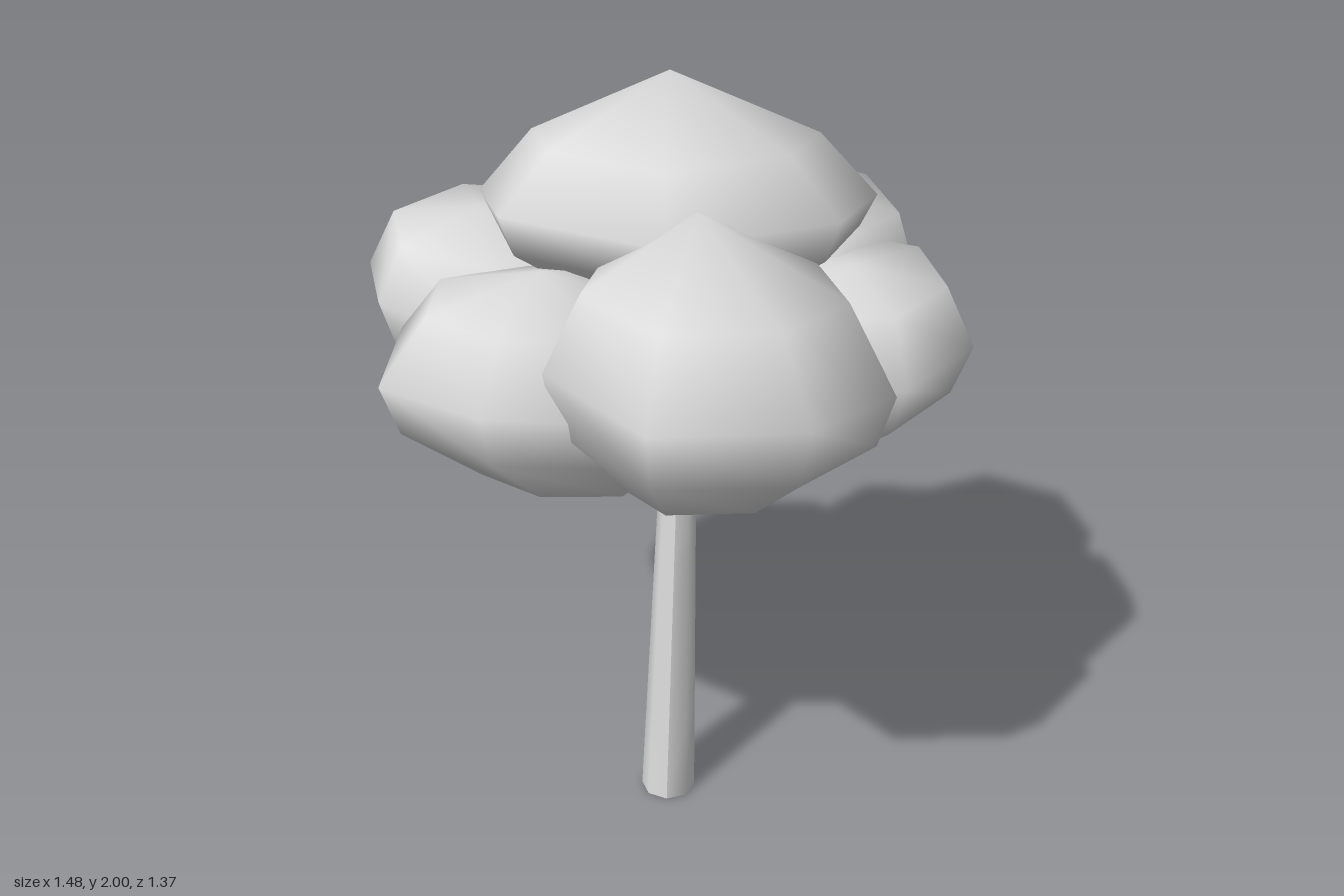
import * as THREE from 'three';

const SIDES = 7;
const V = (p) => new THREE.Vector3(...p);

// Closed smooth skin: top pole, a stack of rings, bottom pole
function skin(top, rings, bottom) {
  const points = [top, ...rings.flat(), bottom];
  const last = points.length - 1;
  const index = [];
  const at = (r, i) => 1 + r * SIDES + (i % SIDES);
  for (let i = 0; i < SIDES; i++) {
    index.push(0, at(0, i + 1), at(0, i));
    for (let r = 0; r < rings.length - 1; r++) {
      const a = at(r, i), b = at(r, i + 1), c = at(r + 1, i), d = at(r + 1, i + 1);
      index.push(a, b, c, b, d, c);
    }
    index.push(last, at(rings.length - 1, i), at(rings.length - 1, i + 1));
  }
  const geometry = new THREE.BufferGeometry().setFromPoints(points);
  geometry.setIndex(index);
  geometry.computeVertexNormals();
  return geometry;
}

// Widest outline: a tilted, slightly wavy polygon on an ellipse, clockwise from above
function girth({ center, rx, rz, turn, tilt }) {
  return Array.from({ length: SIDES }, (_, i) => {
    const a = THREE.MathUtils.degToRad(turn) + (i / SIDES) * Math.PI * 2;
    const x = rx * Math.cos(a), z = rz * Math.sin(a);
    const y = x * tilt[0] + z * tilt[1] + 0.025 * Math.sin(i * 2.4);
    return V(center).add(new THREE.Vector3(x, y, z));
  });
}

// Ring between the widest outline and a pole
function shoulder(outline, pole, spread, rise) {
  return outline.map((p) => new THREE.Vector3(
    THREE.MathUtils.lerp(pole.x, p.x, spread),
    THREE.MathUtils.lerp(p.y, pole.y, rise),
    THREE.MathUtils.lerp(pole.z, p.z, spread)));
}

// Leaf clumps: turn is the angle of the first corner, spread and rise place the upper shoulder
const clumps = [
  { name: 'topFoliage', center: [0.03, 1.67, -0.13], rx: 0.49, rz: 0.44, turn: 90, tilt: [0, 0.13],
    top: [0.02, 2, -0.07], bottom: [0.03, 1.42, -0.1], spread: 0.71, rise: 0.48 },
  { name: 'frontFoliage', center: [0.15, 1.44, 0.31], rx: 0.4, rz: 0.39, turn: 110, tilt: [-0.05, 0.05],
    top: [0.1, 1.8, 0.27], bottom: [0.08, 1.01, 0.12], spread: 0.75, rise: 0.55 },
  { name: 'frontRightFoliage', center: [-0.27, 1.37, 0.18], rx: 0.38, rz: 0.32, turn: 156, tilt: [0, 0],
    top: [-0.25, 1.62, 0.2], bottom: [-0.1, 1, 0.12], spread: 0.7, rise: 0.65 },
  { name: 'backRightFoliage', center: [-0.39, 1.38, -0.23], rx: 0.36, rz: 0.35, turn: 192, tilt: [-0.06, 0.04],
    top: [-0.45, 1.58, -0.25], bottom: [-0.12, 1, -0.15], spread: 0.76, rise: 0.8 },
  { name: 'backLeftFoliage', center: [0.27, 1.42, -0.36], rx: 0.36, rz: 0.335, turn: 318, tilt: [-0.2, 0],
    top: [0.21, 1.65, -0.4], bottom: [0.17, 1, -0.24], spread: 0.86, rise: 0.68 },
  { name: 'leftFoliage', center: [0.42, 1.36, -0.04], rx: 0.325, rz: 0.33, turn: 10, tilt: [0.03, -0.05],
    top: [0.45, 1.54, -0.05], bottom: [0.16, 1, -0.05], spread: 0.76, rise: 0.85 },
];

export function createModel() {
  const model = new THREE.Group();
  model.name = 'tree';
  const grey = new THREE.MeshStandardMaterial({ color: 0xdddddd });
  grey.name = 'pale grey';

  const add = (name, geometry) => {
    const mesh = new THREE.Mesh(geometry, grey);
    mesh.name = name;
    model.add(mesh);
    return mesh;
  };

  // Foliage
  for (const c of clumps) {
    const top = V(c.top), bottom = V(c.bottom), outline = girth(c);
    add(c.name, skin(top, [
      shoulder(outline, top, c.spread, c.rise),
      outline,
      shoulder(outline, bottom, 0.92, 0.34),
      shoulder(outline, bottom, 0.58, 0.72),
    ], bottom));
  }

  // Trunk, leaning slightly as it narrows
  const trunk = new THREE.CylinderGeometry(0.046, 0.07, 0.96, 8, 4);
  trunk.translate(0, 0.48, 0);
  const pos = trunk.attributes.position;
  for (let i = 0; i < pos.count; i++) {
    const t = pos.getY(i) / 0.96;
    pos.setX(i, pos.getX(i) + 0.022 + 0.021 * t);
    pos.setZ(i, pos.getZ(i) - 0.043 - 0.012 * t);
  }
  trunk.computeVertexNormals();
  add('trunk', trunk);

  // Branches fanning into the clumps
  const fork = new THREE.Vector3(0.042, 0.93, -0.055);
  for (const c of clumps) {
    const end = V(c.bottom);
    end.y += 0.08;
    const start = fork.clone().lerp(new THREE.Vector3(end.x, fork.y, end.z), 0.15);
    const dir = end.clone().sub(start);
    const branch = add('branch', new THREE.CylinderGeometry(0.012, 0.018, dir.length(), 6));
    branch.position.copy(start).addScaledVector(dir, 0.5);
    branch.quaternion.setFromUnitVectors(new THREE.Vector3(0, 1, 0), dir.normalize());
  }
  return model;
}
